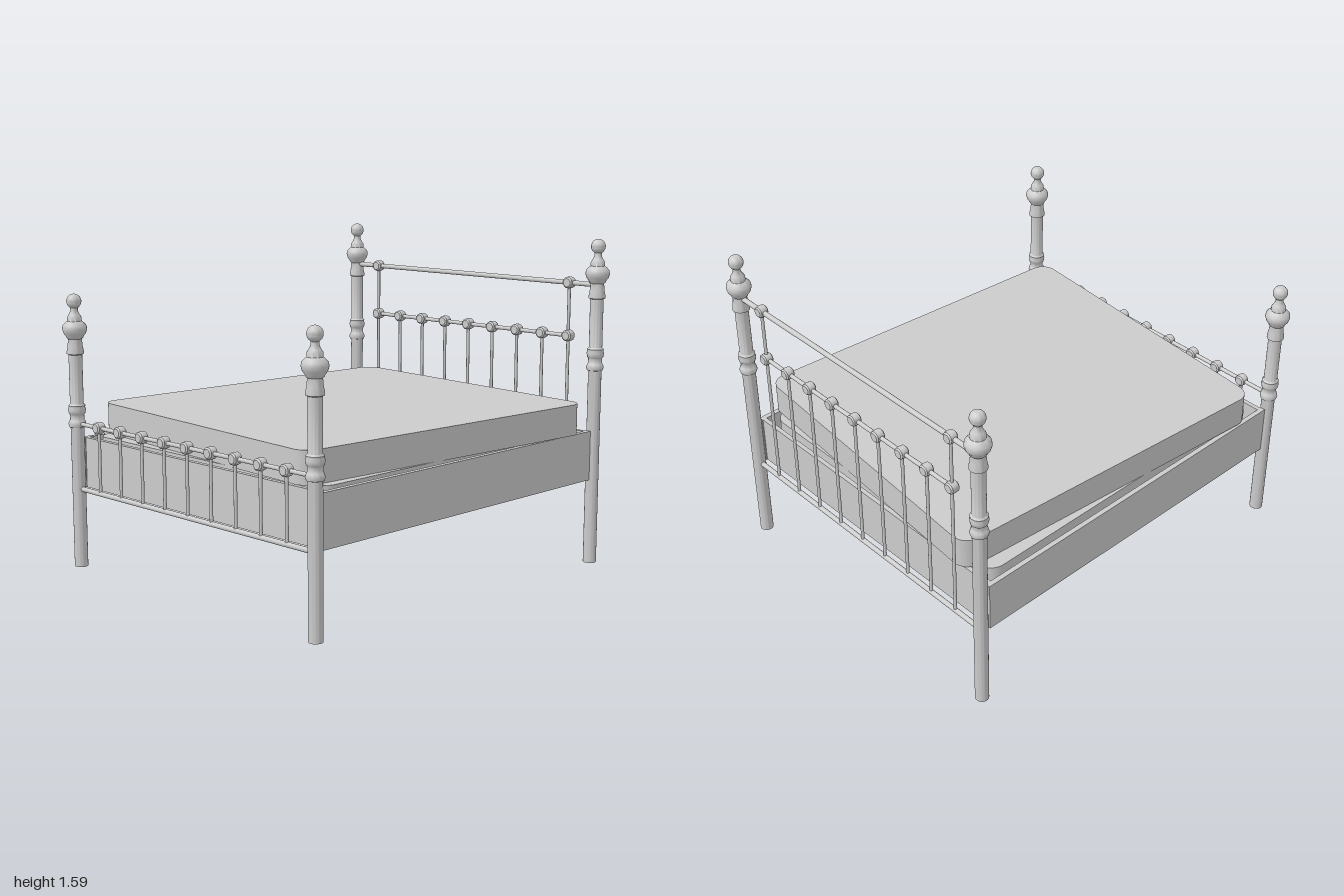
import * as THREE from 'three';
import { toCreasedNormals } from 'three/addons/utils/BufferGeometryUtils.js';

const material = new THREE.MeshStandardMaterial({ color: 0xcccccc });

function add(parent, geometry, name, x = 0, y = 0, z = 0) {
  const mesh = new THREE.Mesh(geometry, material);
  mesh.name = name;
  mesh.position.set(x, y, z);
  parent.add(mesh);
  return mesh;
}

// Turned post; heights in the profile are measured down from the finial top
function postGeometry(bottom, top) {
  const profile = [
    [0.032, 0.632], [0.038, 0.630], [0.042, 0.617], [0.038, 0.602], [0.033, 0.596],
    [0.033, 0.572], [0.038, 0.567], [0.042, 0.548], [0.038, 0.535], [0.040, 0.528],
    [0.032, 0.520], [0.032, 0.286], [0.040, 0.282], [0.040, 0.272], [0.035, 0.245],
    [0.032, 0.212], [0.038, 0.208], [0.042, 0.198], [0.052, 0.185], [0.058, 0.165],
    [0.055, 0.148], [0.042, 0.134], [0.034, 0.128], [0.034, 0.110], [0.026, 0.098],
    [0.018, 0.082], [0.018, 0.066],
  ];
  const points = [new THREE.Vector2(0, bottom), new THREE.Vector2(0.032, bottom)];
  for (const [r, d] of profile) points.push(new THREE.Vector2(r, top - d));
  // Ball finial
  for (let i = 1; i <= 10; i++) {
    const a = -Math.PI / 3 + (i / 10) * (Math.PI * 5 / 6);
    points.push(new THREE.Vector2(Math.max(0, 0.035 * Math.cos(a)), top - 0.035 + 0.035 * Math.sin(a)));
  }
  return toCreasedNormals(new THREE.LatheGeometry(points, 28), 0.8);
}

// Horizontal rail running along z
function rail(parent, name, x, y, z0, z1, r) {
  const g = new THREE.CylinderGeometry(r, r, z1 - z0, 14).rotateX(Math.PI / 2);
  add(parent, g, name, x, y, (z0 + z1) / 2);
}

// Round joint lying across the rail, with softened rims
const hubGeometry = toCreasedNormals(new THREE.LatheGeometry(
  [[0, -0.023], [0.02, -0.023], [0.027, -0.017], [0.029, 0], [0.027, 0.017], [0.02, 0.023], [0, 0.023]]
    .map(([r, y]) => new THREE.Vector2(r, y)), 20), 0.7).rotateZ(Math.PI / 2);

const HUB_STEP = 0.159;
const RAIL_LOW = 0.415;

// One bed end: two posts, bottom rail, and a row of spindles topped by hubs
function bedEnd(name, x, zFront, zBack, bottom, top, hubY) {
  const end = new THREE.Group();
  end.name = name;
  const post = postGeometry(bottom, top);
  add(end, post, 'frontPost', x, 0, zFront);
  add(end, post, 'backPost', x, 0, zBack);
  rail(end, 'bottomRail', x, RAIL_LOW, zBack, zFront, 0.012);
  const mid = (zFront + zBack) / 2;
  const spindle = new THREE.CylinderGeometry(0.008, 0.008, hubY - RAIL_LOW, 10);
  for (let i = -4; i <= 4; i++) {
    const z = mid + i * HUB_STEP;
    add(end, spindle, 'spindle', x, (hubY + RAIL_LOW) / 2, z);
    add(end, hubGeometry, 'hub', x, hubY, z);
  }
  return end;
}

// Slab with rounded vertical corners, resting on y = 0
function slabGeometry(w, d, h, r) {
  const a = w / 2, b = d / 2;
  const s = new THREE.Shape();
  s.moveTo(-a + r, -b);
  s.lineTo(a - r, -b);
  s.absarc(a - r, -b + r, r, -Math.PI / 2, 0);
  s.absarc(a - r, b - r, r, 0, Math.PI / 2);
  s.absarc(-a + r, b - r, r, Math.PI / 2, Math.PI);
  s.absarc(-a + r, -b + r, r, Math.PI, Math.PI * 1.5);
  const g = new THREE.ExtrudeGeometry(s, { depth: h, bevelEnabled: false, curveSegments: 10 });
  return toCreasedNormals(g.rotateX(-Math.PI / 2), 0.7);
}

export function createModel() {
  const bed = new THREE.Group();
  bed.name = 'bed';

  // Headboard with an extra top rail on two uprights
  const head = bedEnd('headboard', 0.94, 0.805, -0.795, 0, 1.585, 1.107);
  const span = 4 * HUB_STEP, mid = 0.005;
  rail(head, 'middleRail', 0.94, 1.107, mid - span, mid + span, 0.01);
  rail(head, 'topRail', 0.94, 1.366, -0.795, 0.805, 0.012);
  for (const side of [-1, 1]) {
    const z = mid + side * span;
    add(head, new THREE.CylinderGeometry(0.008, 0.008, 0.26, 10), 'upright', 0.94, 1.236, z);
    add(head, hubGeometry, 'hub', 0.94, 1.366, z);
  }
  bed.add(head);

  // Footboard, lower, with its rail reaching both posts
  const foot = bedEnd('footboard', -0.94, 0.8, -0.81, 0.035, 1.345, 0.73);
  rail(foot, 'middleRail', -0.94, 0.73, -0.81, 0.8, 0.01);
  bed.add(foot);

  // Frame boards
  const frame = new THREE.Group();
  frame.name = 'frame';
  const boardY = 0.538, boardH = 0.242;
  for (const z of [0.8, -0.808]) {
    add(frame, new THREE.BoxGeometry(1.82, boardH, 0.024), 'sideBoard', 0, boardY, z);
  }
  for (const x of [0.893, -0.893]) {
    add(frame, new THREE.BoxGeometry(0.022, boardH, 1.59), 'endBoard', x, boardY, -0.004);
  }
  bed.add(frame);

  // Box base sunk in the frame, and the mattress lying askew on it
  add(bed, slabGeometry(1.72, 1.53, 0.167, 0.075), 'boxBase', -0.005, 0.5, 0);
  const mattress = add(bed, slabGeometry(1.72, 1.53, 0.148, 0.075), 'mattress', 0.01, 0.665, 0.012);
  mattress.rotation.y = -0.08;

  return bed;
}
